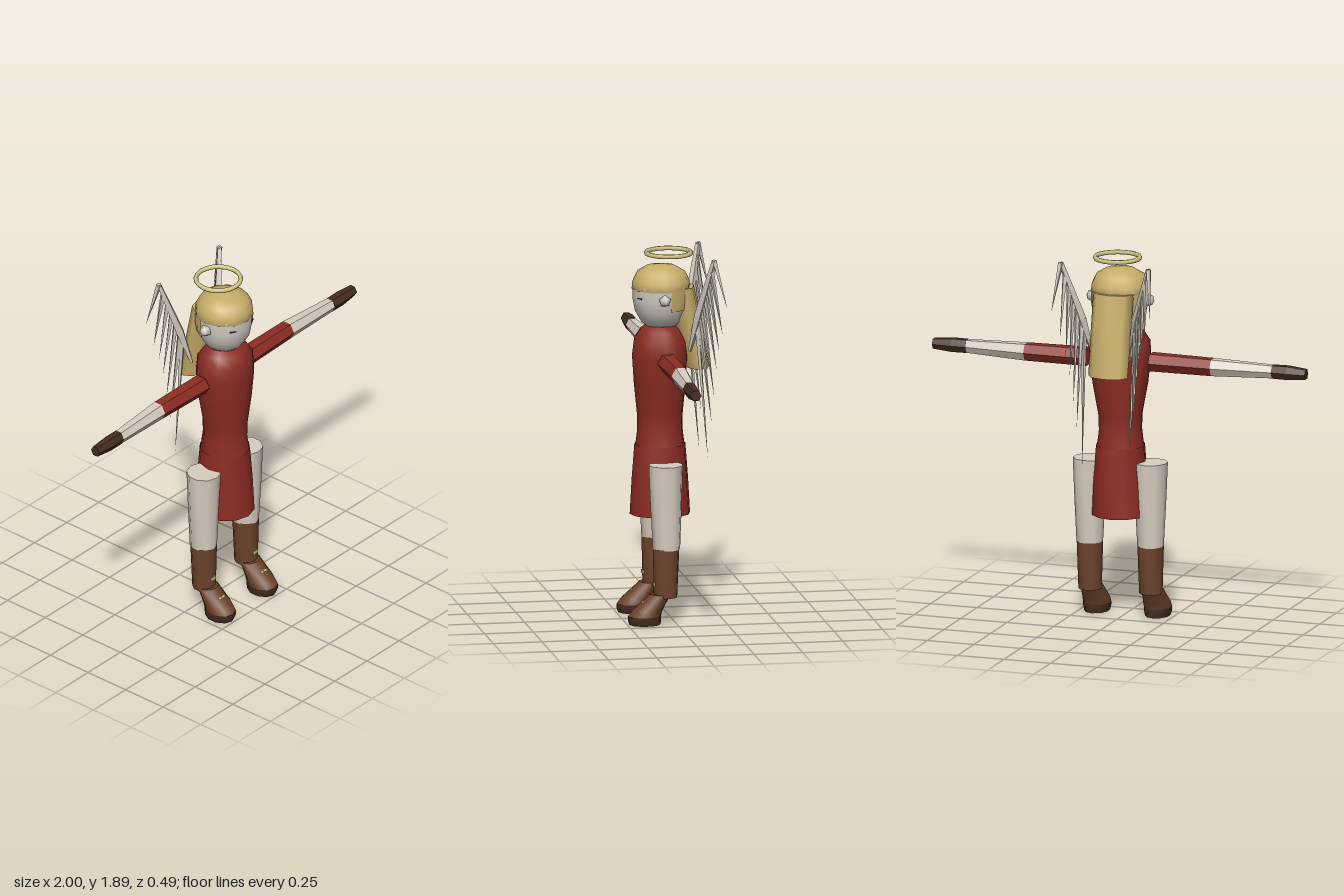
import * as THREE from 'three';

const mat = (name, color, extra = {}) => {
  const m = new THREE.MeshStandardMaterial({ color, ...extra });
  m.name = name;
  return m;
};

// Skin through elliptical sections [cx, y, cz, rx, rz] listed from bottom to top
function loft(sections, n = 10, { caps = true, flat = false } = {}) {
  const pos = [], idx = [];
  const ring = ([cx, y, cz, rx, rz]) => {
    const start = pos.length / 3;
    for (let j = 0; j < n; j++) {
      const a = (j / n) * Math.PI * 2;
      pos.push(cx + Math.sin(a) * rx, y, cz + Math.cos(a) * rz);
    }
    return start;
  };
  const starts = sections.map(ring);
  for (let i = 0; i + 1 < starts.length; i++) {
    for (let j = 0; j < n; j++) {
      const k = (j + 1) % n, a = starts[i], b = starts[i + 1];
      idx.push(a + j, a + k, b + j, a + k, b + k, b + j);
    }
  }
  if (caps) {
    [sections[0], sections[sections.length - 1]].forEach((s, top) => {
      const start = ring(s), c = pos.length / 3;
      pos.push(s[0], s[1], s[2]);
      for (let j = 0; j < n; j++) {
        const k = (j + 1) % n;
        idx.push(c, start + (top ? j : k), start + (top ? k : j));
      }
    });
  }
  let g = new THREE.BufferGeometry();
  g.setAttribute('position', new THREE.Float32BufferAttribute(pos, 3));
  g.setIndex(idx);
  if (flat) g = g.toNonIndexed();
  g.computeVertexNormals();
  return g;
}

const lathe = (pts, segs, start, length) =>
  new THREE.LatheGeometry(pts.map(([r, y]) => new THREE.Vector2(r, y)), segs, start, length);

export function createModel() {
  const root = new THREE.Group();
  root.name = 'wingedFigure';
  const red = mat('red cloth', 0x8c2c22, { side: THREE.DoubleSide });
  const pale = mat('pale cloth', 0xd8cdc0);
  const skin = mat('skin', 0xd2cbc4);
  const blond = mat('blond hair', 0xc6ad68);
  const brown = mat('boot leather', 0x6c432b);
  const dark = mat('dark leather', 0x442c20);
  const feather = mat('feather', 0xcfc6bd);
  const halo = mat('halo gold', 0xd6c987);

  const add = (parent, name, geo, material, p = [0, 0, 0], r = [0, 0, 0]) => {
    const m = new THREE.Mesh(geo, material);
    m.name = name;
    m.position.set(...p);
    m.rotation.set(...r);
    parent.add(m);
    return m;
  };
  const group = (name) => {
    const g = new THREE.Group();
    g.name = name;
    root.add(g);
    return g;
  };

  // Tunic, skirt and the recessed underside of the skirt
  const Z = 0.055;
  add(root, 'tunic', loft([
    [0, 0.88, Z, 0.122, 0.128], [0, 0.98, Z, 0.11, 0.116], [0, 1.06, Z, 0.113, 0.118],
    [0, 1.22, Z, 0.145, 0.134], [0, 1.36, Z, 0.162, 0.143], [0, 1.44, Z, 0.158, 0.133],
    [0, 1.49, Z, 0.125, 0.1], [0, 1.515, Z, 0.09, 0.06]], 12), red);
  add(root, 'skirt', loft([
    [0, 0.54, Z, 0.145, 0.155], [0, 0.72, Z, 0.138, 0.145], [0, 0.9, Z, 0.125, 0.131]],
    12, { caps: false }), red);
  add(root, 'skirtUnderside', loft([[0, 0.575, Z, 0.142, 0.152], [0, 0.585, Z, 0.142, 0.152]], 12), red);

  // Head and hair
  const head = group('head');
  add(head, 'face', lathe([[0, 1.487], [0.06, 1.497], [0.1, 1.53], [0.133, 1.59],
    [0.145, 1.65], [0.145, 1.72]], 16), skin, [0, 0, 0.05]);
  add(head, 'hairCap', lathe([[0.138, 1.698], [0.15, 1.702], [0.147, 1.74], [0.125, 1.785],
    [0.075, 1.815], [0, 1.825]], 12), blond, [0, 0, 0.05]);
  add(head, 'backHair', lathe([[0.141, 1.6], [0.149, 1.65], [0.15, 1.705]], 10, 1.77, 2.743),
    blond, [0, 0, 0.05]);
  add(head, 'ponytail', loft([[0, 1.292, -0.135, 0.105, 0.062], [0, 1.5, -0.094, 0.108, 0.068],
    [0, 1.71, -0.05, 0.108, 0.07]], 8), blond);
  add(root, 'halo', new THREE.TorusGeometry(0.114, 0.012, 6, 20), halo,
    [0, 1.882, 0.01], [Math.PI / 2, 0, 0]);

  for (const s of [1, -1]) {
    const side = s > 0 ? 'left' : 'right';
    add(head, side + 'Ear', new THREE.SphereGeometry(0.032, 5, 4), skin,
      [s * 0.15, 1.662, 0.055], [0, 0, -s * Math.PI / 2]);
    add(head, side + 'Eye', new THREE.BoxGeometry(0.034, 0.005, 0.006), dark,
      [s * 0.075, 1.664, 0.173], [0, s * 0.52, 0]);

    // Arm: hexagonal sleeve, forearm and glove laid along x
    const arm = group(side + 'Arm');
    const limb = (name, sections, m) => add(arm, name,
      loft(sections.map(([d, cz, ry, rz]) => [0, d, cz, ry * 1.155, rz]), 6, { flat: true }),
      m, [0, 1.345, 0], [0, 0, -s * Math.PI / 2]);
    limb('sleeve', [[0.17, 0.043, 0.044, 0.056], [0.5, 0.038, 0.042, 0.048]], red);
    limb('forearm', [[0.5, 0.038, 0.042, 0.048], [0.82, 0.05, 0.032, 0.034]], pale);
    limb('glove', [[0.82, 0.05, 0.033, 0.035], [0.9, 0.05, 0.034, 0.036], [1, 0.048, 0.025, 0.028]], dark);

    // Leg: trouser, boot shaft, slanted foot and sole
    const leg = group(side + 'Leg');
    const x = s * 0.163;
    add(leg, 'trouser', loft([[x, 0.385, 0.05, 0.067, 0.07], [x, 0.6, 0.052, 0.078, 0.08],
      [x, 0.82, 0.053, 0.087, 0.088]], 10), pale);
    add(leg, 'bootShaft', loft([[x, 0.138, 0.055, 0.059, 0.06], [x, 0.39, 0.052, 0.067, 0.068]], 10), brown);
    add(leg, 'foot', loft([[x, 0.045, 0.163, 0.07, 0.085], [x, 0.075, 0.147, 0.069, 0.078],
      [x, 0.155, 0.079, 0.057, 0.053]], 10), brown);
    add(leg, 'sole', loft([[x, 0, 0.16, 0.063, 0.08], [x, 0.022, 0.163, 0.069, 0.085],
      [x, 0.045, 0.163, 0.07, 0.085]], 10), dark);
    add(leg, 'shaftBuckle', new THREE.BoxGeometry(0.034, 0.018, 0.008), halo, [x, 0.207, 0.115]);
    for (const [w, h] of [[0.04, 0.008], [0.008, 0.03]]) {
      add(leg, 'footBuckle', new THREE.BoxGeometry(w, h, 0.008), halo,
        [x, 0.115, 0.171], [-0.86, 0, 0]);
    }

    // Wing: tapered bone carrying a fan of pointed feathers
    const wing = group(side + 'Wing');
    const V = (a) => new THREE.Vector3(s * a[0], a[1], a[2]);
    const spike = (name, from, to, rFrom, rTo) => {
      const dir = to.clone().sub(from);
      const m = add(wing, name, new THREE.CylinderGeometry(rTo, rFrom, dir.length(), 4).toNonIndexed(), feather);
      m.geometry.computeVertexNormals();
      m.position.copy(from).addScaledVector(dir, 0.5);
      m.quaternion.setFromUnitVectors(new THREE.Vector3(0, 1, 0), dir.normalize());
    };
    const root0 = V([0.1, 1.39, -0.08]), mid = V([0.145, 1.58, -0.12]), tip = V([0.235, 1.88, -0.183]);
    spike('lowerBone', root0, mid, 0.008, 0.025);
    spike('upperBone', mid, tip, 0.025, 0.013);
    const ends = [[0.265, 1.63, -0.245], [0.225, 1.49, -0.228], [0.198, 1.4, -0.215],
      [0.18, 1.3, -0.205], [0.165, 1.16, -0.195], [0.15, 1.02, -0.185], [0.125, 0.83, -0.17]];
    ends.forEach((e, i) => {
      const t = i / ends.length * 1.4;
      const base = t < 1 ? tip.clone().lerp(mid, t) : mid.clone().lerp(root0, t - 1);
      spike('feather', base, V(e), 0.015, 0);
    });
  }
  return root;
}
